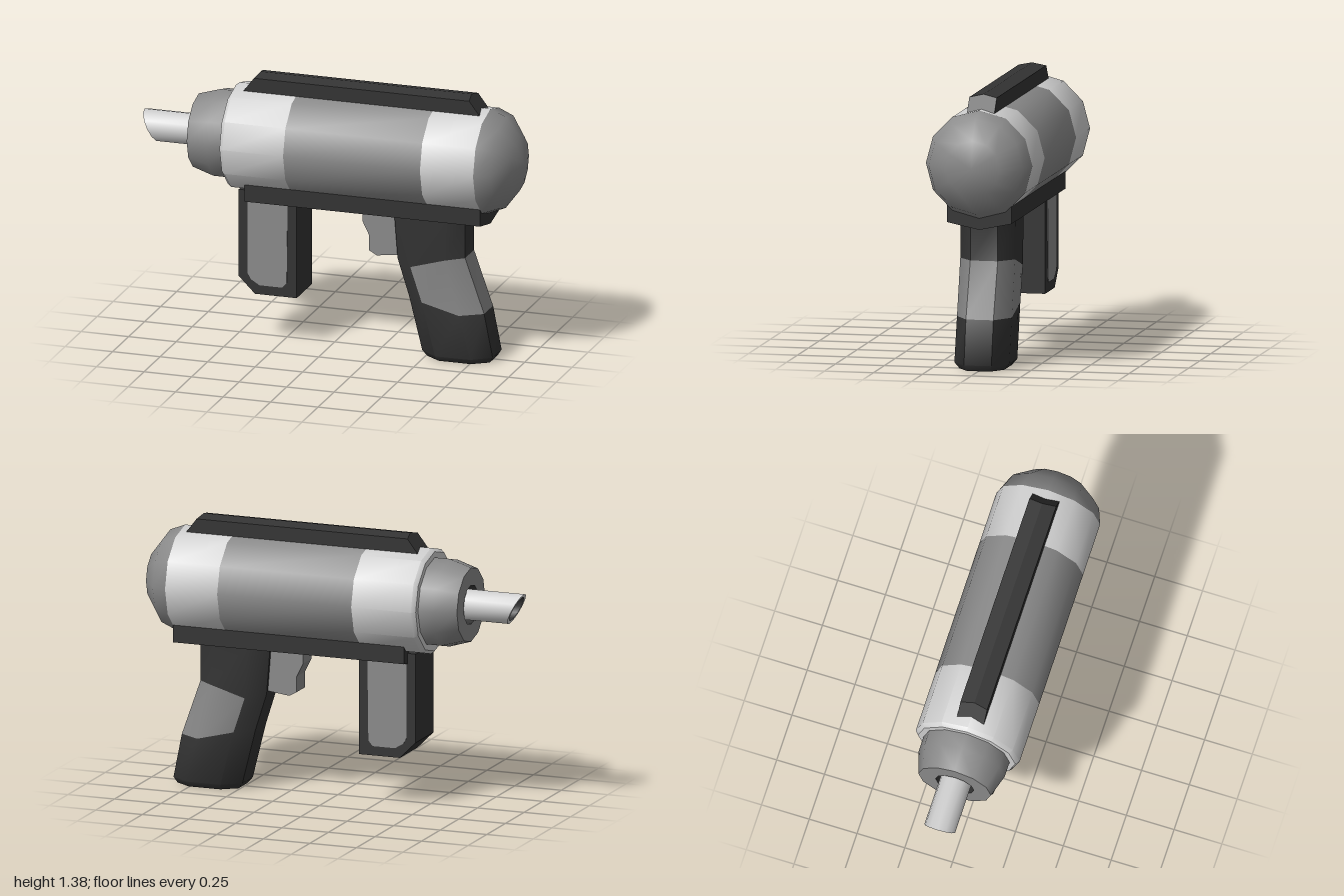
import * as THREE from 'three';
import { toCreasedNormals } from 'three/addons/utils/BufferGeometryUtils.js';

const AXIS_Y = 1.04; // height of the barrel axis

export function createModel() {
  const model = new THREE.Group();
  const mat = (name, color) => Object.assign(new THREE.MeshStandardMaterial({ color }), { name });
  const light = mat('lightGrey', 0xd0d0d0);
  const grey = mat('midGrey', 0x8a8a8a);
  const dark = mat('darkGrey', 0x333333);

  const add = (name, geometry, material) => {
    const mesh = new THREE.Mesh(geometry, material);
    mesh.name = name;
    model.add(mesh);
    return mesh;
  };

  // Round part along x from [x, radius] points
  const turned = (points) => {
    const g = new THREE.LatheGeometry(points.map(([x, r]) => new THREE.Vector2(r, x)), 12);
    g.rotateZ(-Math.PI / 2).translate(0, AXIS_Y, 0);
    return toCreasedNormals(g, 0.75);
  };

  const extrude = (points, depth) => new THREE.ExtrudeGeometry(
    new THREE.Shape(points.map(([x, y]) => new THREE.Vector2(x, y))), { depth, bevelEnabled: false });

  // Side outline given thickness in z, centred on z
  const plate = (points, depth, z = 0) => extrude(points, depth).translate(0, 0, z - depth / 2);

  // Cross-section in (z, y) run along x
  const beam = (points, x0, x1) => extrude(points, x1 - x0).rotateY(Math.PI / 2).translate(x0, 0, 0);

  // Move vertices by a rule, then refresh normals
  const bend = (g, rule) => {
    const p = g.attributes.position;
    for (let i = 0; i < p.count; i++) p.setX(i, rule(p.getX(i), p.getY(i)));
    g.computeVertexNormals();
    return g;
  };

  // Barrel
  add('barrelFront', turned([[-0.52, 0.2], [-0.52, 0.255], [-0.5, 0.272], [-0.18, 0.272]]), light);
  add('barrelMiddle', turned([[-0.18, 0.272], [0.54, 0.272]]), grey);
  add('barrelRear', turned([[0.54, 0.272], [0.82, 0.272]]), light);
  add('rearCap', turned([[0.82, 0.272], [0.9, 0.24], [0.975, 0.14], [1, 0]]), grey);
  add('nose', turned([[-0.715, 0.1], [-0.715, 0.19], [-0.6, 0.225], [-0.51, 0.225]]), grey);
  add('noseHole', turned([[-0.62, 0], [-0.62, 0.1], [-0.715, 0.1]]), dark);

  // Hollow muzzle tube with a slanted tip
  const slant = (g) => toCreasedNormals(
    bend(g, (x, y) => (x < -0.99 ? x + (AXIS_Y + 0.08 - y) * 0.5 : x)), 0.75);
  add('muzzleTube', slant(turned([[-1, 0.062], [-1, 0.08], [-0.61, 0.08]])), light);
  add('muzzleBore', slant(turned([[-0.8, 0], [-0.8, 0.062], [-1, 0.062]])), dark);

  // Top rail with sloped ends
  const rail = beam([[-0.07, 1.29], [0, 1.308], [0.07, 1.29], [0.07, 1.365], [0, 1.38], [-0.07, 1.365]],
    -0.39, 0.72);
  add('topRail', bend(rail, (x, y) => x + Math.sign(x) * (1.38 - y) * 0.76), dark);

  // Lower rail with a shallow keel
  add('lowerRail', beam([[-0.165, 0.835], [-0.165, 0.745], [0, 0.71], [0.165, 0.745], [0.165, 0.835]],
    -0.42, 0.82), dark);

  // Front grip and its side panels
  add('frontGrip', plate([[-0.465, 0.79], [-0.465, 0.335], [-0.38, 0.25], [-0.16, 0.25], [-0.16, 0.79]],
    0.236), dark);
  for (const side of [1, -1]) {
    add(side > 0 ? 'frontGripPanelFront' : 'frontGripPanelBack', plate([[-0.417, 0.735], [-0.417, 0.355],
      [-0.4, 0.325], [-0.355, 0.298], [-0.235, 0.298], [-0.212, 0.325], [-0.207, 0.735]],
    0.006, side * 0.118), grey);
  }

  // Trigger
  add('trigger', plate([[0.165, 0.76], [0.165, 0.67], [0.2, 0.6], [0.2, 0.52], [0.24, 0.498],
    [0.37, 0.515], [0.37, 0.76]], 0.11), grey);

  // Rear grip: eight-sided sections, each as four [x, y] columns and two half widths
  const sections = [
    [[0.335, 0.76], [0.43, 0.76], [0.62, 0.76], [0.71, 0.76], 0.07, 0.14],
    [[0.355, 0.5], [0.445, 0.485], [0.625, 0.538], [0.71, 0.538], 0.07, 0.14],
    [[0.415, 0.31], [0.505, 0.305], [0.7, 0.255], [0.81, 0.255], 0.07, 0.14],
    [[0.485, 0.03], [0.575, 0.03], [0.76, 0.03], [0.855, 0.03], 0.07, 0.14],
    [[0.51, 0], [0.585, 0], [0.755, 0], [0.837, 0], 0.06, 0.115],
  ].map(([f, fc, bc, b, narrow, wide]) => {
    const half = [[...f, narrow], [...fc, wide], [...bc, wide], [...b, narrow]];
    return [...half, ...half.map(([x, y, z]) => [x, y, -z]).reverse()];
  });
  const darkFaces = [], bandFaces = [];
  for (let s = 0; s < sections.length - 1; s++) {
    for (let k = 0; k < 8; k++) {
      const n = (k + 1) % 8, up = sections[s], low = sections[s + 1];
      const target = s === 1 && k >= 1 && k <= 5 ? bandFaces : darkFaces;
      target.push(low[k], low[n], up[n], low[k], up[n], up[k]);
    }
  }
  const base = sections[sections.length - 1];
  for (let k = 1; k < 7; k++) darkFaces.push(base[0], base[k + 1], base[k]);
  let grip = new THREE.BufferGeometry();
  grip.setAttribute('position',
    new THREE.Float32BufferAttribute([...darkFaces, ...bandFaces].flat(), 3));
  grip = toCreasedNormals(grip, 0.85);
  grip.clearGroups();
  grip.addGroup(0, darkFaces.length, 0);
  grip.addGroup(darkFaces.length, bandFaces.length, 1);
  add('rearGrip', grip, [dark, grey]);

  return model;
}
